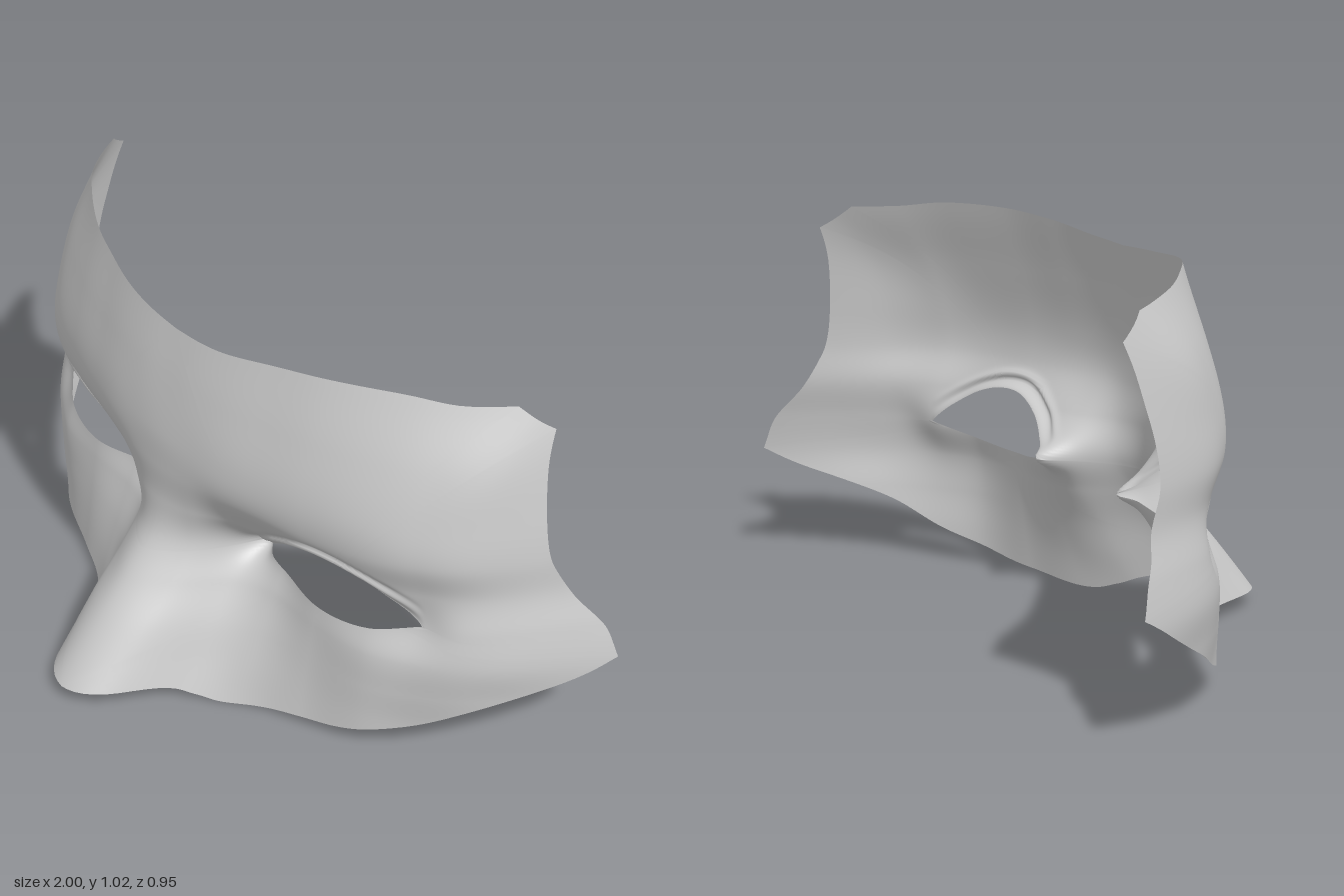
import * as THREE from 'three';
import { mergeVertices } from 'three/addons/utils/BufferGeometryUtils.js';

// Depth of the face: one horizontal section per height, from the midline outwards
const XS = [0, 0.1, 0.2, 0.3, 0.45, 0.6, 0.7, 0.8, 0.88, 1.0];
const YS = [0, 0.1, 0.2, 0.3, 0.4, 0.5, 0.6, 0.7, 0.85, 1.0];
const SECTIONS = [
  [0.505, 0.455, 0.25, 0.14, 0.07, 0.01, -0.07, -0.17, -0.28, -0.47],
  [0.43, 0.375, 0.19, 0.108, 0.055, 0.008, -0.065, -0.16, -0.27, -0.465],
  [0.35, 0.295, 0.135, 0.07, 0.04, 0.008, -0.052, -0.14, -0.255, -0.465],
  [0.265, 0.205, 0.068, 0.028, 0.025, 0.002, -0.052, -0.125, -0.235, -0.475],
  [0.187, 0.14, 0.01, -0.003, 0.012, -0.026, -0.092, -0.145, -0.265, -0.52],
  [0.165, 0.145, 0.085, 0.053, 0.03, -0.015, -0.08, -0.17, -0.315, -0.59],
  [0.165, 0.158, 0.138, 0.113, 0.072, 0.018, -0.045, -0.15, -0.32, -0.62],
  [0.16, 0.155, 0.143, 0.12, 0.076, 0.015, -0.055, -0.17, -0.35, -0.66],
  [0.13, 0.128, 0.115, 0.09, 0.043, -0.03, -0.105, -0.225, -0.42, -0.7],
  [0.09, 0.088, 0.075, 0.05, -0.003, -0.095, -0.19, -0.34, -0.51, -0.78],
];

// Smooth cubic through unevenly spaced values
function cubic(ks, vs, k, flatStart) {
  const n = ks.length;
  let i = 0;
  while (i < n - 2 && k > ks[i + 1]) i++;
  const slope = (j) => {
    if (j === 0 && flatStart) return 0;
    const a = Math.max(j - 1, 0), b = Math.min(j + 1, n - 1);
    return (vs[b] - vs[a]) / (ks[b] - ks[a]);
  };
  const h = ks[i + 1] - ks[i], t = (k - ks[i]) / h;
  if (t > 1) return vs[i + 1] + slope(i + 1) * (t - 1) * h;
  const t2 = t * t, t3 = t2 * t;
  return (2 * t3 - 3 * t2 + 1) * vs[i] + (t3 - 2 * t2 + t) * h * slope(i)
    + (3 * t2 - 2 * t3) * vs[i + 1] + (t3 - t2) * h * slope(i + 1);
}
const faceDepth = (x, y) => cubic(YS, SECTIONS.map((row) => cubic(XS, row, x, true)), y, false);

const spline = (pts, n) =>
  new THREE.SplineCurve(pts.map(([x, y]) => new THREE.Vector2(x, y))).getPoints(n);

// Almond eye opening
const EYE = new THREE.Vector2(0.46, 0.43);
const INNER = [0.207, 0.392], OUTER = [0.708, 0.4];
const upperLid = spline([OUTER, [0.65, 0.455], [0.58, 0.5], [0.5, 0.523], [0.42, 0.518], [0.33, 0.477], [0.26, 0.427], INNER], 160);
const lowerLid = spline([INNER, [0.3, 0.373], [0.4, 0.359], [0.5, 0.355], [0.61, 0.368], OUTER], 60);
const eyeLoop = [...upperLid, ...lowerLid.slice(1, -1)];

// Outer edges: forehead, temple and cheek down to the nose, per side
const MODEL_LEFT = [
  [[0, 0.975], [0.15, 0.983], [0.3, 1.005], [0.45, 1.019], [0.6, 1.02], [0.7, 1.004], [0.775, 1]],
  [[0.835, 0.94], [0.855, 0.8], [0.87, 0.7], [0.89, 0.58], [0.915, 0.49], [0.97, 0.395], [1, 0.305]],
  [[1, 0.305], [0.95, 0.25], [0.82, 0.165], [0.7, 0.09], [0.55, 0.04], [0.4, 0.018], [0.28, 0], [0.22, 0.017], [0.15, 0.046], [0, 0.038]],
];
const MODEL_RIGHT = [
  [[0, 0.975], [0.2, 0.988], [0.4, 1.01], [0.6, 1.022], [0.74, 1.003], [0.84, 0.985]],
  [[0.895, 0.93], [0.905, 0.8], [0.91, 0.7], [0.92, 0.58], [0.943, 0.47], [0.975, 0.4], [1, 0.33]],
  [[1, 0.33], [0.93, 0.245], [0.8, 0.145], [0.65, 0.07], [0.5, 0.034], [0.35, 0.018], [0.28, 0.008], [0.22, 0.025], [0.16, 0.046], [0, 0.038]],
];

// Distance along a ray from the eye centre to a closed loop
function castRay(loop, angle) {
  const dx = Math.cos(angle), dy = Math.sin(angle);
  let best = 0;
  loop.forEach((a, i) => {
    const b = loop[(i + 1) % loop.length];
    const ex = b.x - a.x, ey = b.y - a.y, ax = a.x - EYE.x, ay = a.y - EYE.y;
    const det = dx * ey - dy * ex;
    if (Math.abs(det) < 1e-12) return;
    const r = (ax * ey - ay * ex) / det, s = (ax * dy - ay * dx) / det;
    if (r > 0 && s > -1e-6 && s < 1 + 1e-6) best = Math.max(best, r);
  });
  return best;
}

// Rolled upper lid with its crease, and the sunken inner eye corner
function lidDepth(x, y) {
  const bump = (d, width) => Math.exp(-((d / width) ** 2));
  let z = -0.045 * bump(Math.hypot(x - INNER[0], y - INNER[1]), 0.03);
  const u = (x - INNER[0]) / (OUTER[0] - INNER[0]);
  if (u > 0 && u < 1 && y > 0.39) {
    const w = Math.sin(Math.PI * u) ** 0.7;
    const d = Math.min(...upperLid.map((p) => Math.hypot(x - p.x, y - p.y)));
    z += w * (-0.02 * bump(d, 0.014) + 0.006 * bump(d - 0.02, 0.009) - 0.01 * bump(d - 0.036, 0.009));
  }
  return z;
}

// Half mask: rings growing from the eye opening to the outer edge
function addHalf(positions, indices, edges, side) {
  const outline = edges.flatMap((e) => spline(e, 60));
  const angles = Array.from({ length: 260 }, (_, i) => -Math.PI + (i / 260) * Math.PI * 2);
  const corners = [INNER, OUTER, ...edges.flatMap((e) => [e[0], e[e.length - 1]])];
  corners.forEach(([x, y]) => angles.push(Math.atan2(y - EYE.y, x - EYE.x)));
  angles.sort((a, b) => a - b);
  const RINGS = 44, start = positions.length / 3;
  for (const angle of angles) {
    const r0 = castRay(eyeLoop, angle), r1 = castRay(outline, angle);
    for (let j = 0; j <= RINGS; j++) {
      const r = r0 + (r1 - r0) * (j / RINGS) ** 1.7;
      const x = Math.max(EYE.x + Math.cos(angle) * r, 0), y = EYE.y + Math.sin(angle) * r;
      const px = side * x - 0.012 * (1 - Math.min(x * x, 1));
      // The model's right side is a little wider than its left
      const section = side < 0 ? x - (0.028 + 0.022 * y) * x * x : x;
      positions.push(px, Math.max(y, 0), faceDepth(section, y) + lidDepth(x, y));
    }
  }
  const row = RINGS + 1;
  for (let i = 0; i < angles.length; i++) {
    const next = (i + 1) % angles.length;
    for (let j = 0; j < RINGS; j++) {
      const a = start + i * row + j, b = a + 1;
      const d = start + next * row + j, c = d + 1;
      if (side > 0) indices.push(a, b, c, a, c, d);
      else indices.push(a, c, b, a, d, c);
    }
  }
}

export function createModel() {
  const group = new THREE.Group();
  group.name = 'halfMask';
  const positions = [], indices = [];
  addHalf(positions, indices, MODEL_LEFT, 1);
  addHalf(positions, indices, MODEL_RIGHT, -1);

  // Both halves are welded along the nose for continuous shading
  let geometry = new THREE.BufferGeometry();
  geometry.setAttribute('position', new THREE.Float32BufferAttribute(positions, 3));
  geometry.setIndex(indices);
  geometry = mergeVertices(geometry, 1e-5);
  geometry.computeVertexNormals();

  const material = new THREE.MeshStandardMaterial({ color: 0xcccccc, side: THREE.DoubleSide });
  const mask = new THREE.Mesh(geometry, material);
  mask.name = 'maskShell';
  group.add(mask);
  return group;
}
